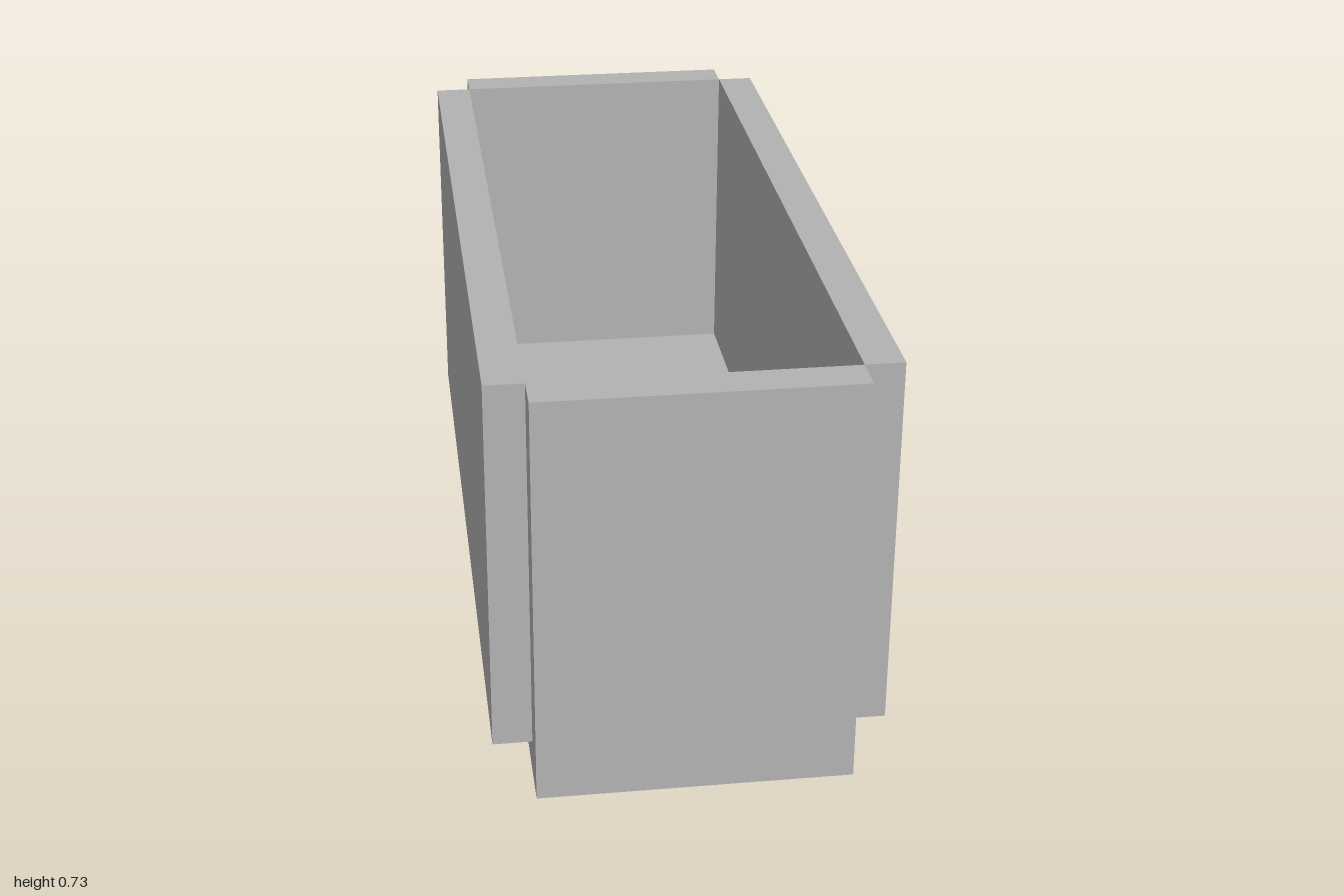
import * as THREE from 'three';

const U = 1 / 15; // design grid unit

export function createModel() {
  const group = new THREE.Group();
  const grey = new THREE.MeshStandardMaterial({ color: 0xb2b2b2 });
  grey.name = 'plain grey';

  // Box from its minimum and maximum corners, in grid units
  const box = (name, [x0, y0, z0], [x1, y1, z1]) => {
    const geometry = new THREE.BoxGeometry((x1 - x0) * U, (y1 - y0) * U, (z1 - z0) * U);
    const mesh = new THREE.Mesh(geometry, grey);
    mesh.name = name;
    mesh.position.set((x0 + x1) / 2 * U, (y0 + y1) / 2 * U, (z0 + z1) / 2 * U);
    group.add(mesh);
  };

  // Base slab, running out behind the box as a ledge
  box('base', [-4, 0, -15], [4, 2, 15]);

  // End walls standing on the base
  box('frontWall', [-4, 2, 14], [4, 11, 15]);
  box('backWall', [-4, 2, -8], [4, 11, -7]);

  // Side walls, hung outside the base and one unit off the ground
  box('leftWall', [4, 1, -7], [5, 11, 14]);
  box('rightWall', [-5, 1, -7], [-4, 11, 14]);

  // Block against the inside of the front wall
  box('innerBlock', [-2, 2, 13], [2, 8, 14]);

  return group;
}
